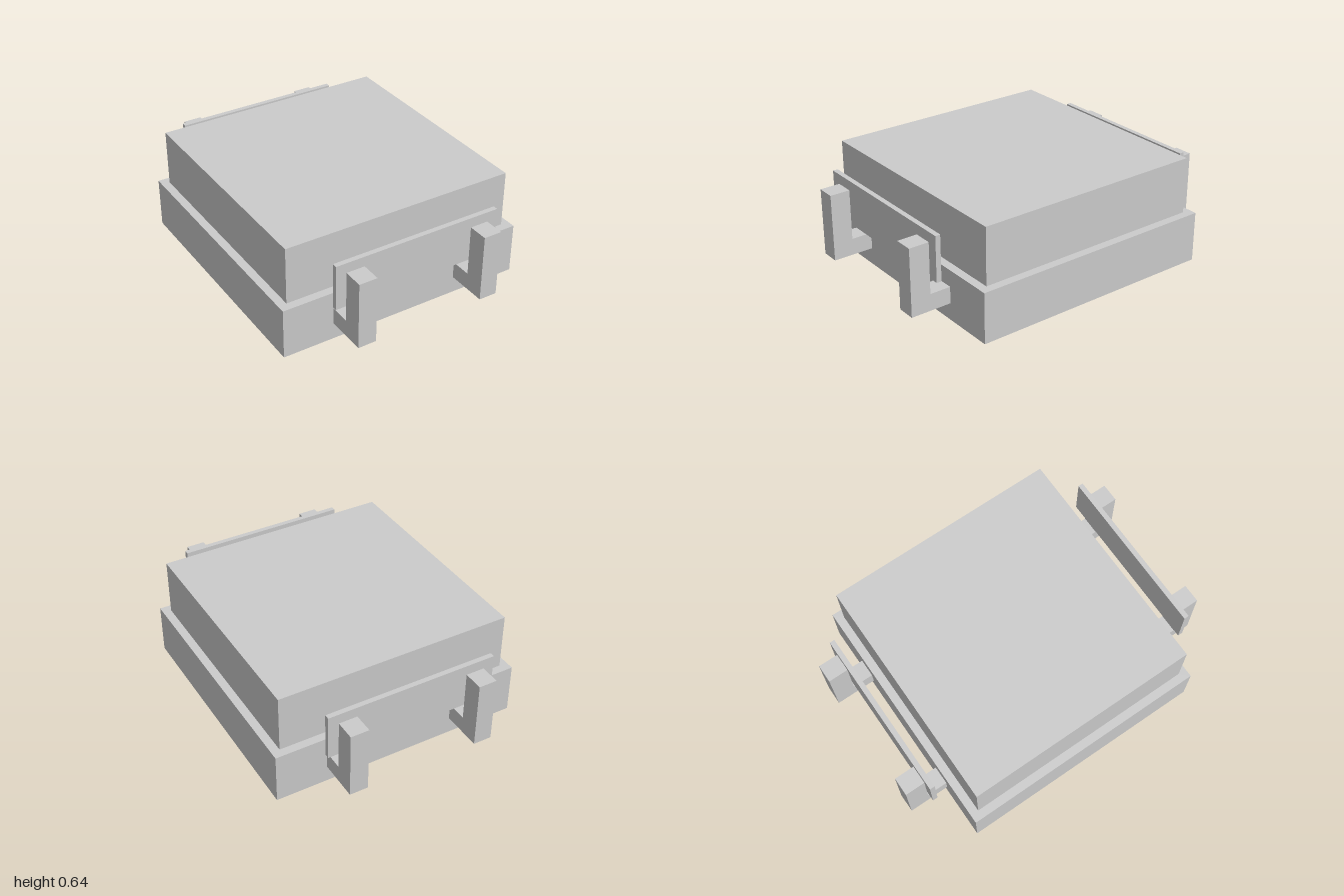
import * as THREE from 'three';

const material = new THREE.MeshStandardMaterial({ color: 0xcccccc, flatShading: true });

// Box given by its width, bottom, top and z range, centred on x = 0
function box(name, width, y0, y1, z0, z1) {
  const mesh = new THREE.Mesh(new THREE.BoxGeometry(width, y1 - y0, z1 - z0), material);
  mesh.name = name;
  mesh.position.set(0, (y0 + y1) / 2, (z0 + z1) / 2);
  return mesh;
}

// L-shaped bracket: profile drawn in (z, y), extruded along x
function bracketGeometry() {
  const width = 0.11;
  const profile = new THREE.Shape([
    [0.755, 0.103], [1, 0.103], [1, 0.508], [0.88, 0.508], [0.88, 0.203], [0.755, 0.203],
  ].map(([z, y]) => new THREE.Vector2(z, y)));
  return new THREE.ExtrudeGeometry(profile, { depth: width, bevelEnabled: false })
    .rotateY(-Math.PI / 2)
    .translate(width / 2, 0, 0);
}

export function createModel() {
  const model = new THREE.Group();
  model.name = 'model';

  // Stepped body
  model.add(box('base', 1.51, 0, 0.303, -0.755, 0.755));
  model.add(box('upperBlock', 1.41, 0.303, 0.643, -0.705, 0.705));

  // Front and back assemblies: a thin plate held by two brackets
  const bracket = bracketGeometry();
  for (const side of ['front', 'back']) {
    const end = new THREE.Group();
    end.name = side + 'Assembly';
    end.add(box(side + 'Plate', 1.025, 0.297, 0.568, 0.85, 0.88));
    for (const x of [-0.395, 0.395]) {
      const mesh = new THREE.Mesh(bracket, material);
      mesh.name = side + 'Bracket';
      mesh.position.x = x;
      end.add(mesh);
    }
    if (side === 'back') end.rotation.y = Math.PI;
    model.add(end);
  }
  return model;
}
